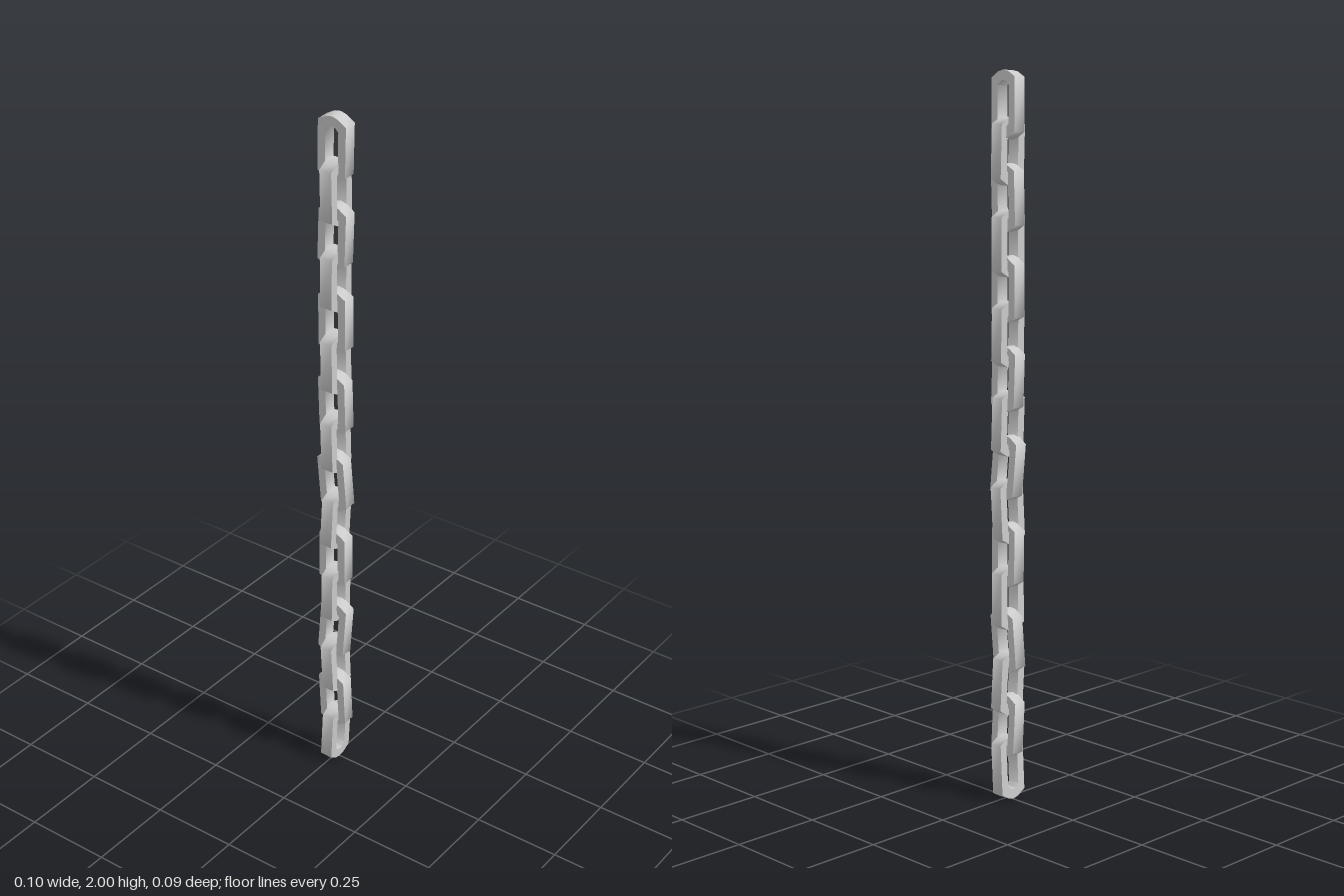
import * as THREE from 'three';
import { toCreasedNormals } from 'three/addons/utils/BufferGeometryUtils.js';

const HALF = 0.09;   // half height of a link
const DEPTH = 0.037; // thickness of a link
const COUNT = 16;

// Mirrors a quarter outline (right side to top centre) into a closed anticlockwise loop
function loop(quarter) {
  const left = quarter.slice(0, -1).map(([x, y]) => [-x, y]).reverse();
  const top = [...quarter, ...left];
  const bottom = top.map(([x, y]) => [-x, -y]).filter(([x]) => Math.abs(x) < 1);
  return [...top, ...bottom].map(([x, y]) => new THREE.Vector2(x, y));
}

// Flat-sided link with peaked ends and a matching hole, shaded softly round the ends
function linkGeometry() {
  const shape = new THREE.Shape(loop([[0.043, 0.071], [0.018, 0.086], [0, HALF]]));
  shape.holes.push(new THREE.Path(loop([[0.02, 0.051], [0.011, 0.06], [0, 0.063]])));
  const geo = new THREE.ExtrudeGeometry(shape, { depth: DEPTH, bevelEnabled: false });
  geo.translate(0, 0, -DEPTH / 2);
  return toCreasedNormals(geo, 1.3);
}

export function createModel() {
  const chain = new THREE.Group();
  chain.name = 'chain';
  const material = new THREE.MeshStandardMaterial({ color: 0xcccccc });
  const facing = linkGeometry();
  const sideways = facing.clone().rotateY(Math.PI / 2);

  // Slight tilt of each link about x and z, from the bottom up
  const tilts = [
    [0, -0.05], [0.04, 0.02], [0.04, 0.02], [-0.04, -0.05],
    [0.03, -0.04], [0.03, -0.02], [-0.02, -0.04], [0.05, 0.05],
    [0.04, 0], [0.03, 0.01], [0.02, 0], [-0.04, 0.04],
    [0.02, -0.02], [0.01, -0.04], [0.04, -0.01], [0.07, -0.07],
  ];
  const pitch = (2 - 2 * HALF) / (COUNT - 1);

  // Links alternate between facing sideways and facing front
  tilts.forEach(([tiltX, tiltZ], i) => {
    const link = new THREE.Mesh(i % 2 ? facing : sideways, material);
    link.name = `link${i + 1}`;
    link.position.y = HALF + i * pitch;
    link.rotation.set(tiltX, 0, tiltZ);
    chain.add(link);
  });
  return chain;
}
